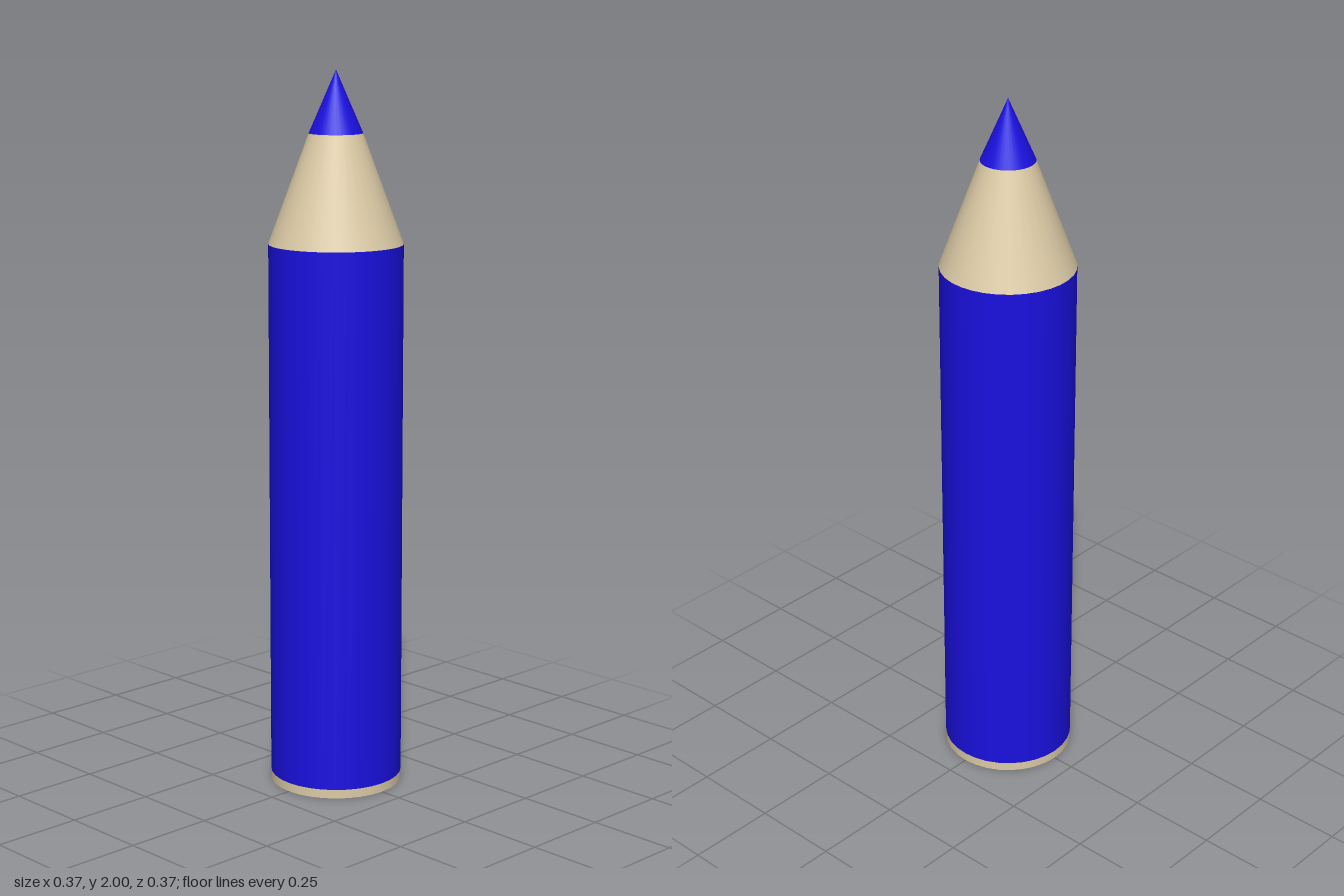
import * as THREE from 'three';

const SIDES = 32;
const RADIUS = 0.185;
const LEAD_TOP = 0.074;
const LEAD_END = 0.088;

export function createModel() {
  const pencil = new THREE.Group();
  pencil.name = 'pencil';
  const blue = new THREE.MeshStandardMaterial({ color: 0x1a10e0 });
  const wood = new THREE.MeshStandardMaterial({ color: 0xdccba6 });

  const add = (name, geometry, material) => {
    const mesh = new THREE.Mesh(geometry, material);
    mesh.name = name;
    pencil.add(mesh);
  };

  // Open round section between two heights
  const section = (name, y0, y1, r0, r1, material) => {
    const geometry = new THREE.CylinderGeometry(r1, r0, y1 - y0, SIDES, 1, true);
    add(name, geometry.translate(0, (y0 + y1) / 2, 0), material);
  };

  // Stacked outer surface, from the bare end up to the point
  section('woodEndBand', 0, 0.025, RADIUS, RADIUS, wood);
  section('paintedBarrel', 0.025, 1.53, RADIUS, RADIUS, blue);
  section('sharpenedWood', 1.53, 1.83, RADIUS, LEAD_TOP, wood);
  section('leadTip', 1.83, 2, LEAD_TOP, 0, blue);

  // Flat underside: wood ring around the lead core
  add('woodEndFace', new THREE.RingGeometry(LEAD_END, RADIUS, SIDES).rotateX(Math.PI / 2), wood);
  add('leadEndFace', new THREE.CircleGeometry(LEAD_END, SIDES).rotateX(Math.PI / 2), blue);

  return pencil;
}
